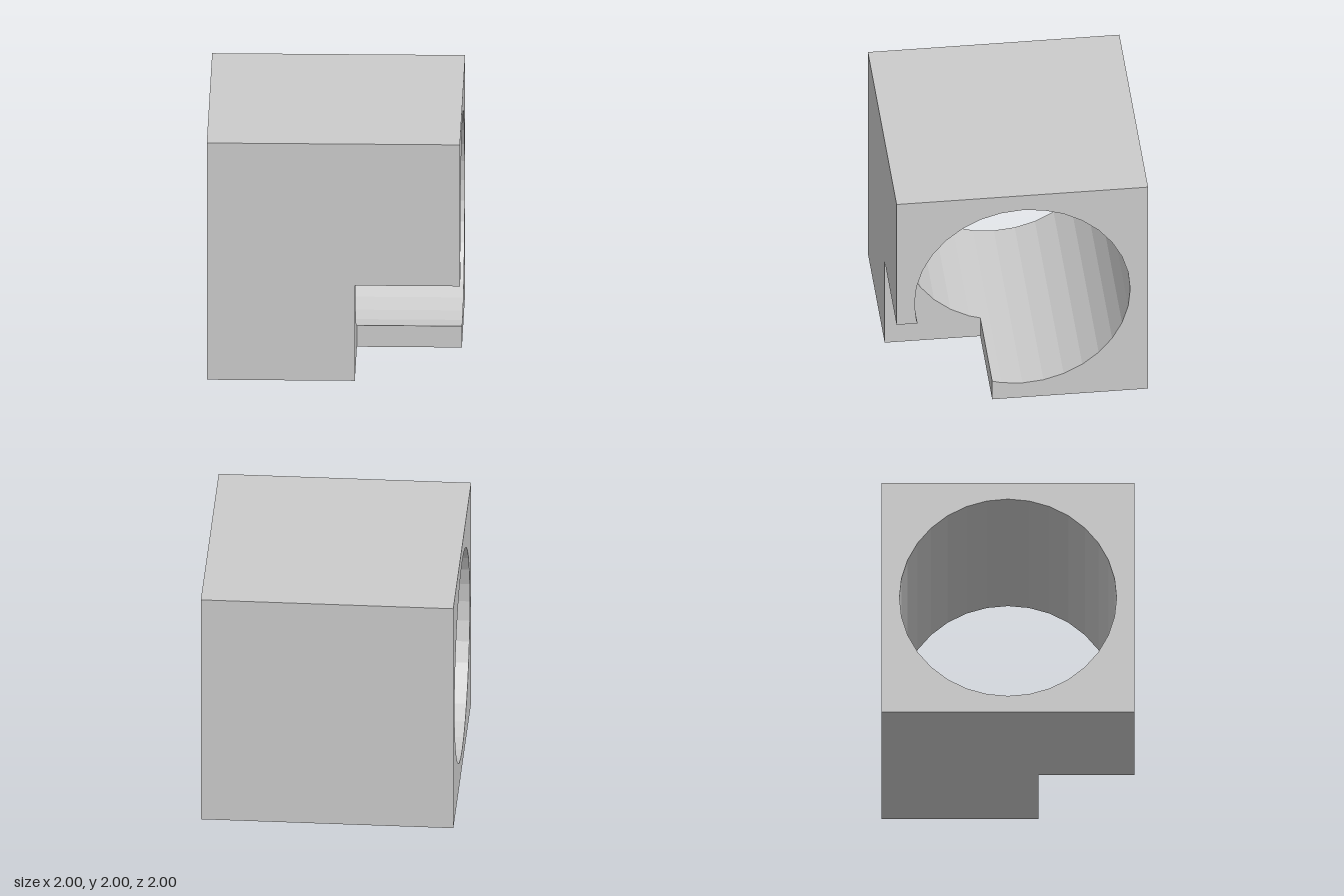
import * as THREE from 'three';

const R = 0.858, SIDES = 32;                 // faceted bore along x
const CUT_X = 0.17, CUT_Y = 0.805, CUT_Z = 0.24; // corner notch limits

// Profile coordinates: u = -z, v = y
const P = (u, v) => new THREE.Vector2(u, v);
const borePoint = (i) => {
  const a = (i / SIDES) * Math.PI * 2;
  return P(R * Math.cos(a), 1 + R * Math.sin(a));
};
// Bore corners from index a down to b (clockwise)
const arc = (a, b) => Array.from({ length: a - b + 1 }, (_, k) => borePoint(a - k));
const between = (p, q, t) => p.clone().lerp(q, t);

export function createModel() {
  const group = new THREE.Group();
  const material = new THREE.MeshStandardMaterial({ color: 0xcccccc, flatShading: true });

  function add(name, geometry) {
    const mesh = new THREE.Mesh(geometry, material);
    mesh.name = name;
    group.add(mesh);
    return mesh;
  }

  // Sweep a profile line along x; solid lies on the left of the line
  function wall(name, line, x0, x1) {
    const pos = [];
    for (let i = 0; i + 1 < line.length; i++) {
      const p = line[i], q = line[i + 1];
      for (const [c, x] of [[p, x0], [q, x0], [q, x1], [p, x0], [q, x1], [p, x1]]) {
        pos.push(x, c.y, -c.x);
      }
    }
    const g = new THREE.BufferGeometry();
    g.setAttribute('position', new THREE.Float32BufferAttribute(pos, 3));
    g.computeVertexNormals();
    add(name, g);
  }

  // Flat face across x, looking toward +x or -x
  function cap(name, shape, x, dir) {
    const g = new THREE.ShapeGeometry(shape);
    g.rotateY((dir * Math.PI) / 2);
    g.translate(x, 0, 0);
    add(name, g);
  }

  // Points where the notch planes meet the bore
  const b17 = borePoint(17), b18 = borePoint(18), b22 = borePoint(22), b23 = borePoint(23);
  const A = between(b17, b18, (b17.y - CUT_Y) / (b17.y - b18.y));
  const B = between(b22, b23, (-CUT_Z - b22.x) / (b23.x - b22.x));

  const outer = [P(-CUT_Z, 0), P(1, 0), P(1, 2), P(-1, 2), P(-1, CUT_Y)];
  const boreMain = [A, ...arc(17, -9), B];
  const boreCorner = [B, ...arc(22, 18), A];
  const corner = [P(-1, CUT_Y), P(-1, 0), P(-CUT_Z, 0)];

  // Long walls of the block and bore
  wall('outerWalls', outer, -1, 1);
  wall('boreWall', boreMain, -1, 1);

  // Lower front corner, stopping at the notch
  wall('cornerOuterWalls', corner, -1, CUT_X);
  wall('cornerBoreWall', boreCorner, -1, CUT_X);

  // Notch faces
  wall('notchCeiling', [P(-1, CUT_Y), A], CUT_X, 1);
  wall('notchBack', [B, P(-CUT_Z, 0)], CUT_X, 1);
  cap('notchSide', new THREE.Shape([...corner, ...boreCorner]), CUT_X, 1);

  // End faces
  cap('notchedEnd', new THREE.Shape([...outer, ...boreMain]), 1, 1);
  const square = new THREE.Shape([P(-1, 0), P(1, 0), P(1, 2), P(-1, 2)]);
  square.holes.push(new THREE.Path(arc(SIDES - 1, 0)));
  cap('plainEnd', square, -1, -1);

  return group;
}
